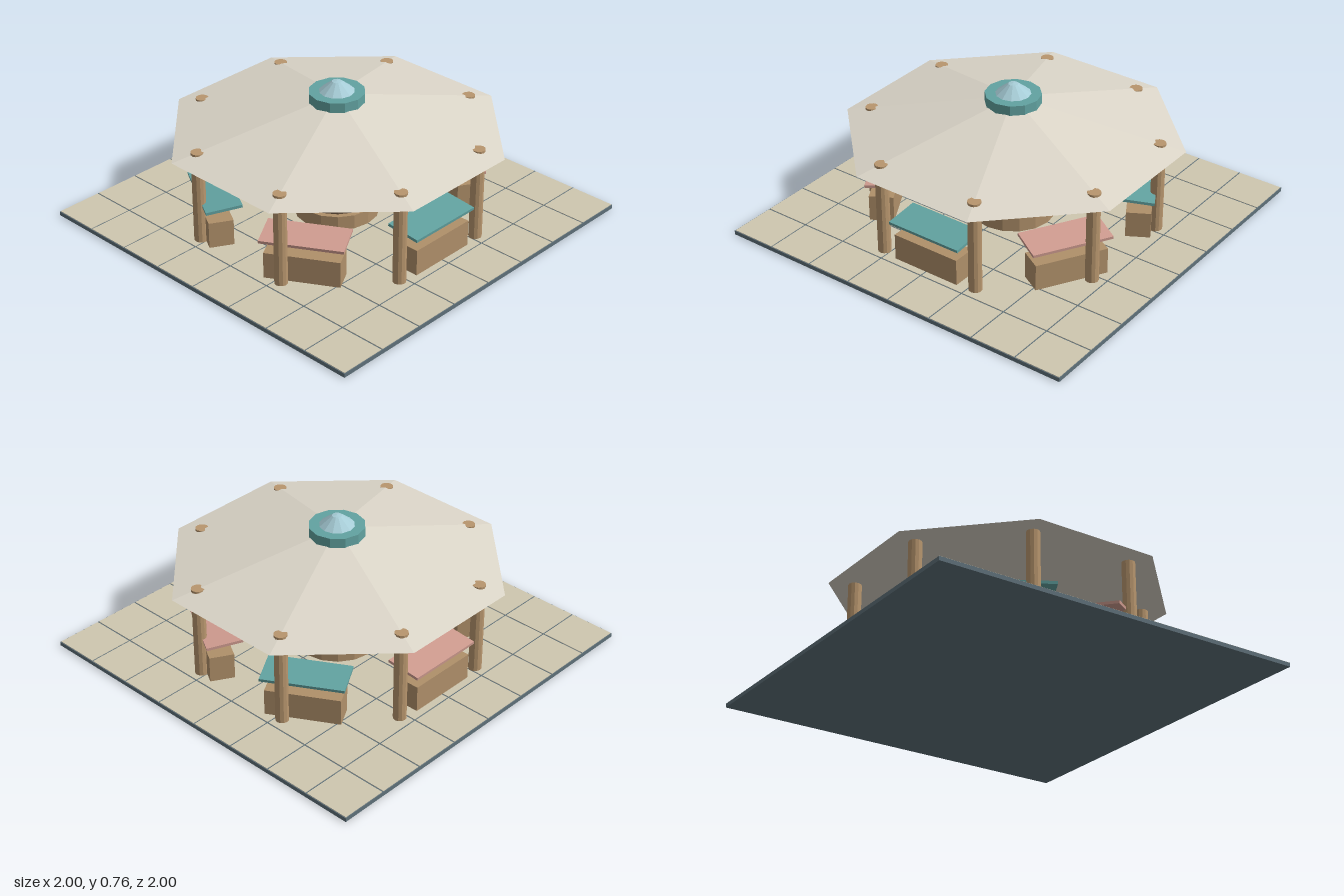
import * as THREE from 'three';

const mat = (color) => new THREE.MeshStandardMaterial({ color, flatShading: true });
const WOOD = mat(0xb8966e), COUNTER = mat(0xb0906a), SLATE = mat(0x5f717a), TILE = mat(0xcfc7b0);
const CANVAS = mat(0xdcd6c9), TEAL = mat(0x62a3a1), PINK = mat(0xd09c90);
const LEAF = mat(0xa3bd8c), SOIL = mat(0x6e5640), GLASS = mat(0xa6ccd6);

export function createModel() {
  const root = new THREE.Group();
  const add = (name, geometry, material, x = 0, y = 0, z = 0, parent = root) => {
    const mesh = new THREE.Mesh(geometry, material);
    mesh.name = name;
    mesh.position.set(x, y, z);
    parent.add(mesh);
    return mesh;
  };
  // adds a geometry standing on y0 and reaching y1
  const box = (w, y0, y1, d) => new THREE.BoxGeometry(w, y1 - y0, d).translate(0, (y0 + y1) / 2, 0);
  const drum = (r, y0, y1, n) => new THREE.CylinderGeometry(r, r, y1 - y0, n).translate(0, (y0 + y1) / 2, 0);
  const cone = (r, y0, y1, n) => new THREE.ConeGeometry(r, y1 - y0, n).translate(0, (y0 + y1) / 2, 0);

  // paved ground: slate slab with an 8 x 8 field of tiles
  add('groundSlab', box(2, 0, 0.021, 2), SLATE);
  const tile = box(0.242, 0.02, 0.024, 0.242);
  const paving = new THREE.Group();
  paving.name = 'paving';
  root.add(paving);
  for (let i = 0; i < 8; i++)
    for (let j = 0; j < 8; j++)
      add('tile', tile, TILE, -0.875 + i * 0.25, 0, -0.875 + j * 0.25, paving);

  // eight posts, just piercing the octagonal roof
  const post = drum(0.034, 0.022, 0.52, 12);
  for (let i = 0; i < 8; i++) {
    const a = Math.PI / 8 + (i * Math.PI) / 4;
    add('post', post, WOOD, 0.738 * Math.cos(a), 0, 0.738 * Math.sin(a));
  }
  add('roof', cone(0.871, 0.486, 0.682, 8).rotateY(Math.PI / 8), CANVAS);

  // roof lantern: ring and glass cap
  add('lanternRing', drum(0.143, 0.645, 0.7, 12), TEAL);
  const cap = [[0.095, 0.695], [0.09, 0.7], [0.025, 0.752], [0, 0.756]];
  add('lanternGlass', new THREE.LatheGeometry(cap.map(([x, y]) => new THREE.Vector2(x, y)), 12), GLASS);

  // six market stalls in a ring, awnings alternating in colour
  for (let i = 0; i < 6; i++) {
    const stall = new THREE.Group();
    stall.name = 'stall';
    stall.rotation.y = (-i * Math.PI) / 3;
    root.add(stall);
    add('counter', box(0.126, 0.024, 0.163, 0.38), COUNTER, 0.647, 0, 0, stall);
    const awning = add('awning', new THREE.BoxGeometry(0.185, 0.015, 0.42),
      i % 2 ? PINK : TEAL, 0.633, 0.239, 0, stall);
    awning.rotation.z = -0.095;
  }

  // round central planter with alternating tall and short shrubs
  add('planter', drum(0.218, 0.022, 0.1, 16), COUNTER);
  add('soil', drum(0.19, 0.09, 0.113, 16), SOIL);
  for (let i = 0; i < 8; i++) {
    const a = (i * Math.PI) / 4;
    add('shrub', cone(0.052, 0.105, i % 2 ? 0.265 : 0.225, 7), LEAF,
      0.115 * Math.cos(a), 0, 0.115 * Math.sin(a));
  }
  return root;
}
